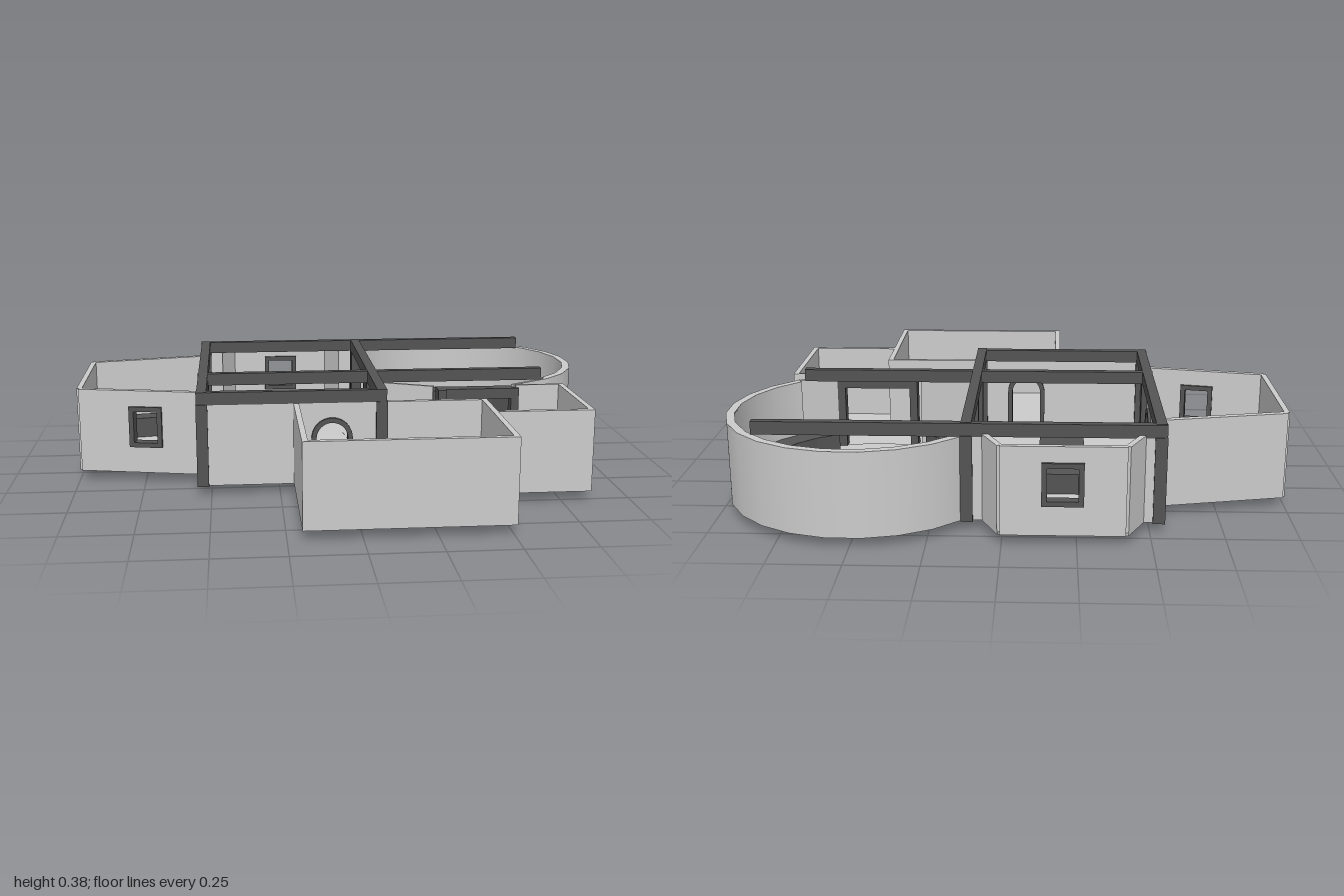
import * as THREE from 'three';

export function createModel() {
  const root = new THREE.Group();
  const grey = new THREE.MeshStandardMaterial({ color: 0xcccccc, flatShading: true });
  const smooth = new THREE.MeshStandardMaterial({ color: 0xcccccc, side: THREE.DoubleSide });
  const dark = new THREE.MeshStandardMaterial({ color: 0x545454, flatShading: true });
  const F = 0.045, TOP = 0.335; // floor level and wall top
  const CX = 0.51, CZ = -0.385, R = 0.485; // round room

  const add = (name, geo, mat) => {
    const m = new THREE.Mesh(geo, mat);
    m.name = name;
    root.add(m);
    return m;
  };
  const box = (name, x0, x1, y0, y1, z0, z1, mat) =>
    add(name, new THREE.BoxGeometry(x1 - x0, y1 - y0, z1 - z0), mat)
      .position.set((x0 + x1) / 2, (y0 + y1) / 2, (z0 + z1) / 2);
  // Solid of a plan outline given as [x, z] points
  const slab = (name, pts, y0, y1, mat) => {
    const shape = new THREE.Shape(pts.map(([x, z]) => new THREE.Vector2(x, -z)));
    const g = new THREE.ExtrudeGeometry(shape, { depth: y1 - y0, bevelEnabled: false });
    g.rotateX(-Math.PI / 2).translate(0, y0, 0);
    return add(name, g, mat);
  };
  const rect = (x0, x1, z0, z1) => [[x0, z0], [x1, z0], [x1, z1], [x0, z1]];
  const arc = (r, a0, a1, n) => Array.from({ length: n + 1 }, (_, i) => {
    const a = THREE.MathUtils.degToRad(a0 + (a1 - a0) * i / n);
    return [CX + r * Math.cos(a), CZ + r * Math.sin(a)];
  });
  // Opening outline: rectangle or round-headed
  const outline = (Type, c, w, y0, y1, arched) => {
    const s = new Type(), h = w / 2;
    s.moveTo(c - h, y0);
    s.lineTo(c + h, y0);
    s.lineTo(c + h, arched ? y1 - h : y1);
    if (arched) s.absarc(c, y1 - h, h, 0, Math.PI, false);
    else s.lineTo(c - h, y1);
    s.closePath();
    return s;
  };
  // Upright wall from p to q, with an optional framed opening
  const wall = (name, p, q, y0, y1, t, hole) => {
    const dx = q[0] - p[0], dz = q[1] - p[1], L = Math.hypot(dx, dz);
    const place = (n, shape, depth, mat) => {
      const g = new THREE.ExtrudeGeometry(shape, { depth, bevelEnabled: false, curveSegments: 10 });
      g.translate(0, 0, -depth / 2).rotateY(-Math.atan2(dz, dx)).translate(p[0], 0, p[1]);
      add(n, g, mat);
    };
    const s = outline(THREE.Shape, L / 2, L, y0, y1, false);
    if (hole) {
      const { c, w, b, h, arched } = hole, e = 0.018;
      s.holes.push(outline(THREE.Path, c, w, b, h, arched));
      const f = outline(THREE.Shape, c, w, b, h, arched);
      f.holes.push(outline(THREE.Path, c, w - 2 * e, b + (arched ? 0.005 : e), h - e, arched));
      place(name + 'Frame', f, t + 0.02, dark);
    }
    place(name, s, t, grey);
  };

  // Floors
  slab('mainFloor', rect(-0.55, 0.14, -0.69, 0.33), 0.034, F, grey);
  slab('frontRoomFloor', rect(-0.195, 0.505, 0.32, 0.86), 0.035, F - 0.001, grey);
  slab('entryFloor', rect(0.13, 0.85, 0.08, 0.51), 0.0355, F - 0.002, grey);
  slab('thresholdFloor', rect(0.36, 0.68, 0.02, 0.09), 0.035, F - 0.001, grey);
  slab('roundFloor', arc(R - 0.01, 0, 345, 23), 0.036, F + 0.001, grey);
  slab('wingFloor', [[-0.99, -0.44], [-0.54, -0.54], [-0.54, 0.18], [-0.99, 0.085]], 0.035, F - 0.001, grey);
  slab('bayFloor', [[-0.42, -0.815], [0.01, -0.815], [0.07, -0.68], [-0.48, -0.68]], 0.035, F - 0.001, grey);

  // Main hall walls
  wall('hallFrontWall', [-0.54, 0.32], [0.13, 0.32], 0.036, TOP, 0.02,
    { c: 0.48, w: 0.15, b: F, h: 0.28, arched: true });
  wall('hallSideWall', [-0.54, -0.68], [-0.54, 0.32], 0.036, TOP, 0.02,
    { c: 0.5, w: 0.17, b: F, h: 0.28, arched: true });
  wall('hallInnerWall', [0.13, 0], [0.13, 0.32], 0.036, TOP, 0.02);
  wall('hallBackWall', [-0.54, -0.685], [-0.46, -0.685], 0.036, TOP, 0.02);
  wall('hallBackWall', [0.05, -0.685], [0.16, -0.685], 0.036, TOP, 0.02);

  // Front room and entry
  wall('frontRoomSide', [-0.19, 0.33], [-0.19, 0.86], 0.035, TOP, 0.02);
  wall('frontRoomFront', [-0.2, 0.855], [0.51, 0.855], 0.035, TOP, 0.02);
  wall('frontRoomSide', [0.5, 0.32], [0.5, 0.86], 0.035, TOP, 0.02);
  wall('frontRoomBack', [0.13, 0.32], [0.51, 0.32], 0.035, TOP, 0.02);
  wall('entryFront', [0.5, 0.51], [0.857, 0.51], 0.035, TOP, 0.02);
  wall('entrySide', [0.847, 0.08], [0.847, 0.515], 0.035, TOP, 0.02);
  wall('entryBack', [0.67, 0.088], [0.85, 0.088], 0.035, TOP, 0.012);

  // Slanted walls on either side of the round room's doorway
  wall('slantWall', [0.12, -0.02], [0.35, 0.085], 0, TOP, 0.014);
  wall('slantWall', [0.66, 0.08], [0.82, -0.02], 0, TOP, 0.014);

  // Side wing with a window
  const wing = [[-0.535, -0.53], [-0.99, -0.432], [-0.99, 0.08], [-0.535, 0.175]];
  wall('wingBack', wing[0], wing[1], 0.035, 0.35, 0.024);
  wall('wingSide', wing[1], wing[2], 0.035, 0.35, 0.02);
  wall('wingFront', wing[2], wing[3], 0.035, 0.35, 0.024, { c: 0.255, w: 0.125, b: 0.135, h: 0.29 });
  slab('wingBench', [[-0.98, -0.4], [-0.72, -0.445], [-0.72, -0.365], [-0.9, -0.33],
    [-0.9, 0.06], [-0.98, 0.045]], F, 0.125, dark);

  // Rear bay with a window and seat
  const bay = [[-0.47, -0.69], [-0.412, -0.81], [0.005, -0.81], [0.06, -0.69]];
  wall('baySide', bay[0], bay[1], 0.035, 0.345, 0.02);
  wall('bayBack', bay[1], bay[2], 0.035, 0.345, 0.02, { c: 0.21, w: 0.14, b: 0.14, h: 0.29 });
  wall('baySide', bay[2], bay[3], 0.035, 0.345, 0.02);
  slab('bayBench', [[-0.385, -0.8], [-0.02, -0.8], [0.02, -0.71], [-0.43, -0.71]], F, 0.125, dark);

  // Round room: smooth outer and inner skins closed by a rim
  const a0 = THREE.MathUtils.degToRad(40), sweep = THREE.MathUtils.degToRad(190);
  for (const r of [R, R - 0.03]) {
    add('roundWall', new THREE.CylinderGeometry(r, r, TOP - 0.036, 13, 1, true, a0, sweep), smooth)
      .position.set(CX, (TOP + 0.036) / 2, CZ);
  }
  const band = (r0, r1, b0, b1, n) => [...arc(r1, b0, b1, n), ...arc(r0, b0, b1, n).reverse()];
  slab('roundWallRim', band(R - 0.03, R, -140, 50, 13), TOP - 0.004, TOP, grey);
  slab('roundWallBase', band(R - 0.03, R, -140, 50, 13), 0.036, 0.04, grey);
  slab('roundBench', band(0.372, 0.455, -138, 66, 14), F, 0.125, dark);
  slab('shortBench', [[0.155, -0.1], [0.19, -0.145], [0.325, -0.03], [0.295, 0.025]], F, 0.125, dark);

  // Doorway between entry and round room
  box('doorLintel', 0.365, 0.68, 0.285, 0.325, 0.055, 0.105, dark);
  box('doorPost', 0.365, 0.395, 0.033, 0.325, 0.05, 0.12, dark);
  box('doorPost', 0.65, 0.68, 0.033, 0.325, 0.055, 0.105, dark);

  // Timber frame
  for (const x of [-0.53, 0.122]) box('beam', x - 0.018, x + 0.018, 0.335, 0.382, -0.69, 0.335, dark);
  for (const [z, x1] of [[-0.682, 0.845], [-0.012, 0.79], [0.318, 0.14]]) {
    box('beam', -0.55, x1, 0.335, 0.381, z - 0.015, z + 0.015, dark);
  }
  for (const [x, z] of [[-0.53, -0.68], [-0.53, 0.318], [0.122, -0.68], [0.122, 0.318],
    [0.122, -0.62], [0.13, -0.175], [0.122, -0.012], [-0.53, -0.012]]) {
    box('post', x - 0.021, x + 0.021, 0.032, 0.337, z - 0.021, z + 0.021, dark);
  }

  // Long table in the hall
  box('table', -0.29, -0.12, F, 0.12, -0.46, 0.105, dark);
  return root;
}
